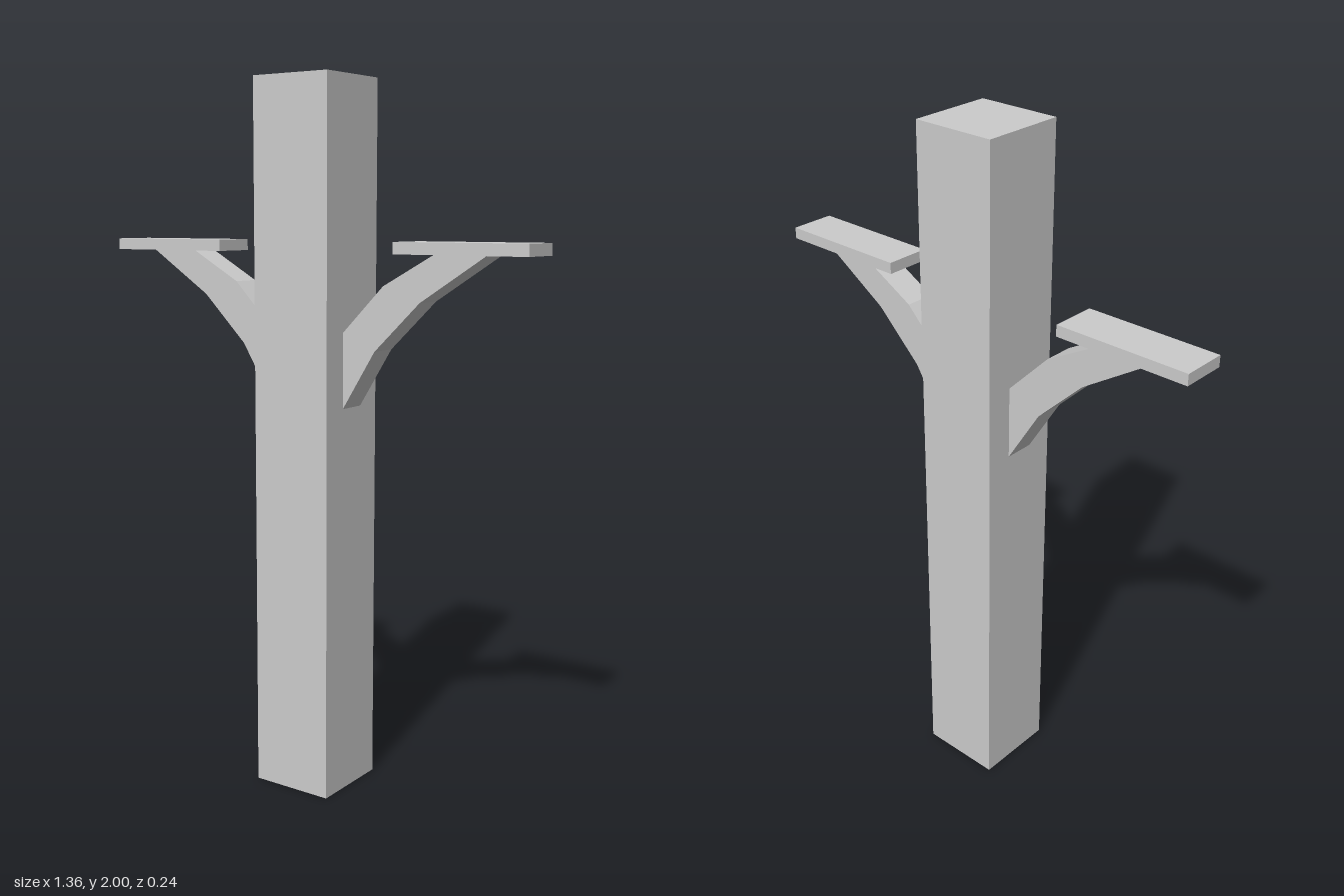
import * as THREE from 'three';

export function createModel() {
  const model = new THREE.Group();
  const material = new THREE.MeshStandardMaterial({
    color: 0xcccccc, flatShading: true, side: THREE.DoubleSide,
  });

  const add = (name, geometry, parent = model) => {
    const mesh = new THREE.Mesh(geometry, material);
    mesh.name = name;
    parent.add(mesh);
    return mesh;
  };

  // Square hollow post: four walls and a top, open underneath
  const half = 0.121;
  const postGeometry = new THREE.BoxGeometry(half * 2, 2, half * 2);
  const index = Array.from(postGeometry.index.array);
  index.splice(18, 6); // drop the bottom face
  postGeometry.setIndex(index);
  postGeometry.clearGroups();
  add('post', postGeometry).position.y = 1;

  // Bracket profile: curved lower edge outwards, then upper edge back to the post
  const profile = [
    [0.12, 1.105], [0.222, 1.27], [0.36, 1.405], [0.553, 1.53],
    [0.4, 1.53], [0.247, 1.445], [0.12, 1.315],
  ].map(([x, y]) => new THREE.Vector2(x, y));
  const depth = 0.086;

  // One arm on each side: a curved bracket carrying a flat shelf
  for (const [side, name] of [[1, 'left'], [-1, 'right']]) {
    const arm = new THREE.Group();
    arm.name = name + 'Arm';
    const shape = new THREE.Shape(profile.map((p) => new THREE.Vector2(p.x * side, p.y)));
    const bracket = new THREE.ExtrudeGeometry(shape, { depth, bevelEnabled: false });
    bracket.translate(0, 0, -depth / 2);
    add(name + 'Bracket', bracket, arm);
    add(name + 'Shelf', new THREE.BoxGeometry(0.39, 0.032, 0.13), arm)
      .position.set(0.485 * side, 1.546, 0);
    model.add(arm);
  }

  return model;
}
